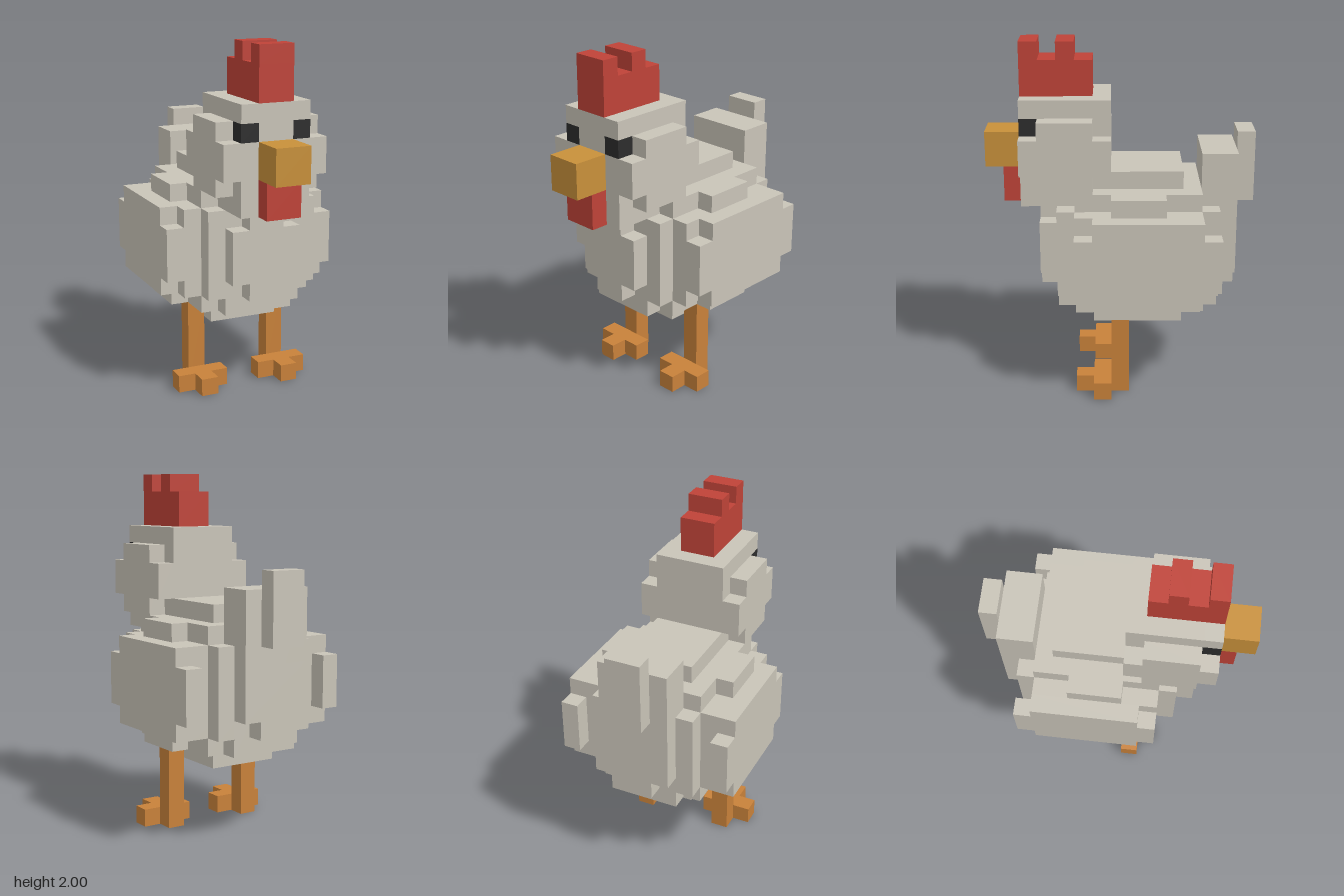
import * as THREE from 'three';

const material = (name, color) => {
  const m = new THREE.MeshStandardMaterial({ color });
  m.name = name;
  return m;
};

export function createModel() {
  const feathers = material('feathers', 0xc9c4b8);
  const red = material('combRed', 0xbf4338);
  const beakYellow = material('beakYellow', 0xc8903a);
  const legOrange = material('legOrange', 0xc8813a);
  const black = material('eyeBlack', 0x2c2c2c);

  const model = new THREE.Group();
  model.name = 'hen';

  // Block given by its x, y and z ranges
  const block = (parent, name, mat, x0, x1, y0, y1, z0, z1) => {
    const mesh = new THREE.Mesh(new THREE.BoxGeometry(x1 - x0, y1 - y0, z1 - z0), mat);
    mesh.position.set((x0 + x1) / 2, (y0 + y1) / 2, (z0 + z1) / 2);
    mesh.name = name;
    parent.add(mesh);
  };
  // Block centred on x = 0
  const middle = (parent, name, mat, halfWidth, ...ranges) =>
    block(parent, name, mat, -halfWidth, halfWidth, ...ranges);
  // Left or right block from its inner and outer distance to the middle
  const sided = (parent, name, mat, side, inner, outer, ...ranges) =>
    block(parent, name, mat, Math.min(side * inner, side * outer),
      Math.max(side * inner, side * outer), ...ranges);
  const group = (name) => {
    const g = new THREE.Group();
    g.name = name;
    model.add(g);
    return g;
  };

  // Rounded body from nested slabs: half width, y range, z range
  const body = group('body');
  [
    [0.2, 0.4, 1.3, -0.35, 0.15],
    [0.4, 0.5, 1.2, -0.25, 0.05],
    [0.3, 0.5, 1.2, -0.45, 0.25],
    [0.2, 0.5, 1.2, -0.55, 0.35],
    [0.4, 0.6, 1.1, -0.45, 0.25],
    [0.3, 0.6, 1.1, -0.55, 0.35],
    [0.2, 0.7, 1.0, -0.65, 0.45],
    [0.1, 0.6, 1.1, -0.65, 0.45],
  ].forEach((slab) => middle(body, 'bodySlab', feathers, ...slab));

  // Tail
  const tail = group('tail');
  middle(tail, 'tailBase', feathers, 0.2, 0.7, 1.4, -0.65, -0.45);
  middle(tail, 'tailTip', feathers, 0.1, 1.1, 1.5, -0.75, -0.65);

  // Head and neck, leaving room for the eyes
  const head = group('head');
  middle(head, 'skull', feathers, 0.2, 1.2, 1.7, 0.05, 0.45);
  middle(head, 'neck', feathers, 0.2, 1.1, 1.2, 0.25, 0.45);
  middle(head, 'face', feathers, 0.2, 1.1, 1.5, 0.45, 0.55);
  middle(head, 'browBridge', feathers, 0.1, 1.5, 1.6, 0.45, 0.55);
  middle(head, 'forehead', feathers, 0.2, 1.6, 1.7, 0.45, 0.55);
  middle(head, 'beak', beakYellow, 0.1, 1.3, 1.5, 0.55, 0.75);
  middle(head, 'wattle', red, 0.1, 1.1, 1.3, 0.55, 0.65);

  // Comb with two points
  middle(head, 'comb', red, 0.1, 1.7, 1.9, 0.15, 0.55);
  for (const z of [0.25, 0.45]) middle(head, 'combPoint', red, 0.1, 1.9, 2, z, z + 0.1);

  for (const side of [1, -1]) {
    const label = side > 0 ? 'left' : 'right';

    // Eye and cheek
    sided(head, label + 'Eye', black, side, 0.1, 0.2, 1.5, 1.6, 0.45, 0.55);
    sided(head, label + 'Cheek', feathers, side, 0.2, 0.3, 1.2, 1.6, 0.15, 0.45);
    sided(head, label + 'CheekRim', feathers, side, 0.2, 0.3, 1.3, 1.5, 0.05, 0.55);

    // Wing with notched corners
    const wing = group(label + 'Wing');
    sided(wing, 'wingMiddle', feathers, side, 0.4, 0.5, 0.6, 1.1, -0.45, 0.15);
    sided(wing, 'wingEnds', feathers, side, 0.4, 0.5, 0.7, 1.0, -0.55, 0.25);

    // Leg and cross-shaped foot
    const leg = group(label + 'Leg');
    sided(leg, 'shin', legOrange, side, 0.2, 0.3, 0, 0.5, -0.05, 0.05);
    sided(leg, 'frontToe', legOrange, side, 0.2, 0.3, 0, 0.1, 0.05, 0.25);
    sided(leg, 'sideToes', legOrange, side, 0.1, 0.4, 0, 0.1, 0.05, 0.15);
  }
  return model;
}
